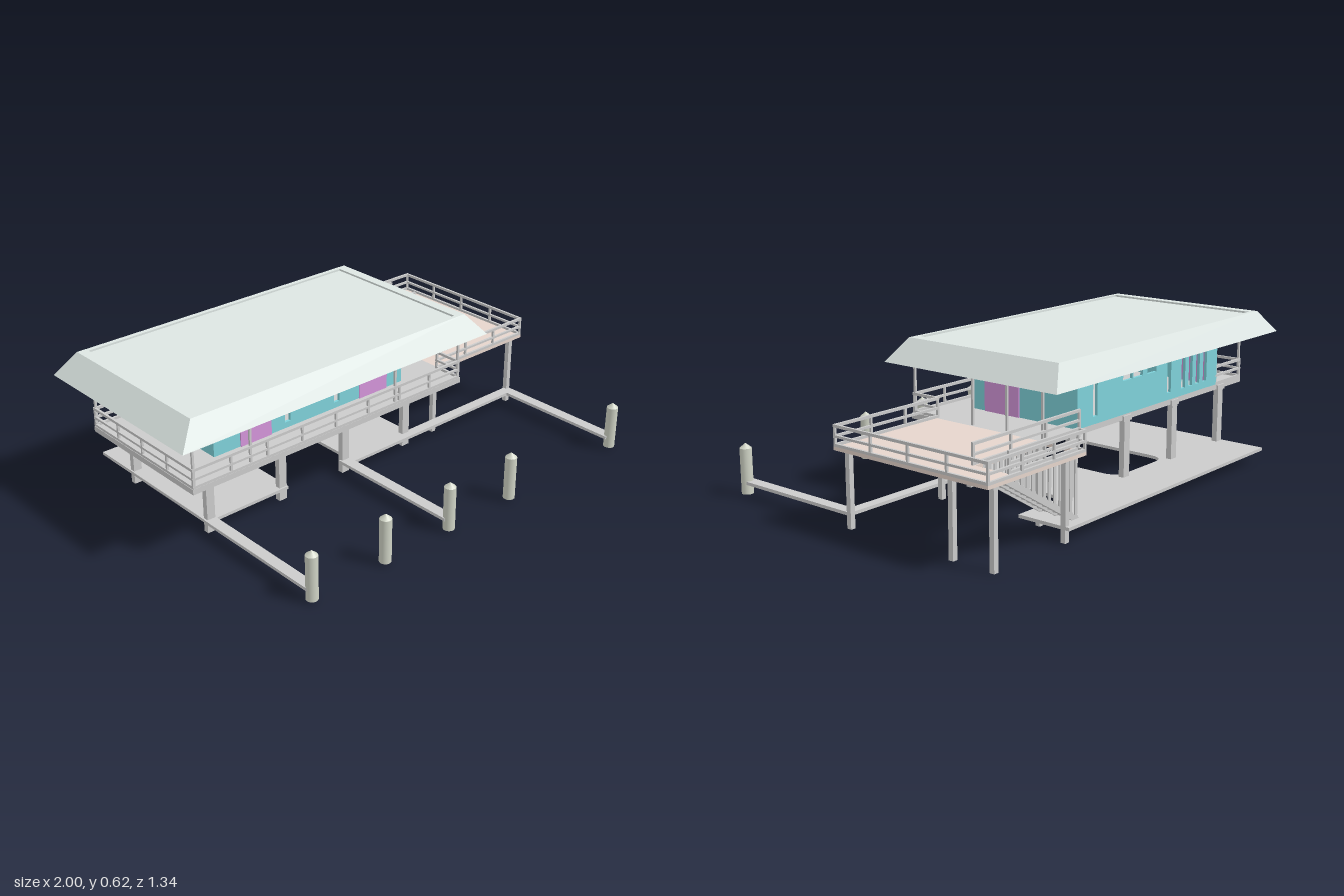
import * as THREE from 'three';

const mat = (color, extra = {}) => new THREE.MeshStandardMaterial({ color, ...extra });
const grey = mat(0xcccccc), teal = mat(0x7fd2da), violet = mat(0xd495da);
const roofMat = mat(0xdde6e3, { flatShading: true, side: THREE.DoubleSide });
const deckMat = mat(0xe6d5cc), stone = mat(0xd0d4c6);

export function createModel() {
  const model = new THREE.Group();

  const add = (name, geo, material, parent = model) => {
    const m = new THREE.Mesh(geo, material);
    m.name = name;
    parent.add(m);
    return m;
  };
  const group = (name) => {
    const g = new THREE.Group();
    g.name = name;
    model.add(g);
    return g;
  };
  // box given by its min and max on each axis
  const box = (name, x0, x1, y0, y1, z0, z1, material = grey, parent = model) => {
    const m = add(name, new THREE.BoxGeometry(x1 - x0, y1 - y0, z1 - z0), material, parent);
    m.position.set((x0 + x1) / 2, (y0 + y1) / 2, (z0 + z1) / 2);
    return m;
  };
  // upright of square or rectangular section
  const post = (name, x, z, y0, y1, w, d, parent) =>
    box(name, x - w / 2, x + w / 2, y0, y1, z - d / 2, z + d / 2, grey, parent);
  const rectPath = (x0, x1, y0, y1) => new THREE.Path(
    [[x0, y0], [x0, y1], [x1, y1], [x1, y0]].map((p) => new THREE.Vector2(...p)));
  const rectShape = (x0, x1, y0, y1) => new THREE.Shape(
    [[x0, y0], [x1, y0], [x1, y1], [x0, y1]].map((p) => new THREE.Vector2(...p)));
  const extrude = (shape, depth) =>
    new THREE.ExtrudeGeometry(shape, { depth, bevelEnabled: false, curveSegments: 6 });
  // horizontal slab from a plan drawn in (x, -z)
  const slab = (name, shape, y0, y1, material) => {
    const m = add(name, extrude(shape, y1 - y0), material);
    m.rotation.x = -Math.PI / 2;
    m.position.y = y0;
    return m;
  };

  // Roof: rectangular rings from soffit to eave, sloped fascia, rim and recessed top
  const rings = [
    [-0.72, 0.26, -0.465, 0.05, 0.527], [-1, 0.54, -0.59, 0.265, 0.525],
    [-0.92, 0.46, -0.535, 0.207, 0.618], [-0.88, 0.417, -0.515, 0.19, 0.618],
    [-0.88, 0.417, -0.515, 0.19, 0.61],
  ].map(([x0, x1, z0, z1, y]) => [[x0, y, z1], [x1, y, z1], [x1, y, z0], [x0, y, z0]]);
  const tris = [];
  const quad = (a, b, c, d) => tris.push(...a, ...b, ...c, ...a, ...c, ...d);
  for (let r = 0; r < rings.length - 1; r++) {
    for (let i = 0; i < 4; i++) {
      const j = (i + 1) % 4;
      quad(rings[r][i], rings[r][j], rings[r + 1][j], rings[r + 1][i]);
    }
  }
  quad(...rings[4]);
  quad(...[...rings[0]].reverse());
  const roofGeo = new THREE.BufferGeometry();
  roofGeo.setAttribute('position', new THREE.Float32BufferAttribute(tris, 3));
  roofGeo.computeVertexNormals();
  add('roof', roofGeo, roofMat);

  // House walls with window openings
  const house = group('house');
  const wall = (name, z, holes) => {
    const s = rectShape(-0.715, 0.26, 0.32, 0.526);
    holes.forEach(([x, w, y0, y1]) => s.holes.push(rectPath(x - w / 2, x + w / 2, y0, y1)));
    add(name, extrude(s, 0.012), teal, house).position.z = z;
  };
  wall('frontWall', 0.036, [[-0.355, 0.028, 0.345, 0.518], [-0.1, 0.028, 0.345, 0.518]]);
  const backWindows = [-0.62, -0.565, -0.51, -0.455, -0.35, 0.15].map((x) => [x, 0.028, 0.35, 0.515]);
  [-0.225, -0.13, -0.06].forEach((x) => backWindows.push([x, 0.062, 0.455, 0.505]));
  wall('backWall', -0.467, backWindows);
  box('leftWall', 0.248, 0.26, 0.32, 0.526, -0.456, 0.037, teal, house);
  box('rightWall', -0.715, -0.703, 0.32, 0.526, -0.456, 0.037, teal, house);
  // Doors
  box('frontDoor', -0.59, -0.44, 0.317, 0.517, 0.03, 0.053, violet, house);
  box('frontDoor', 0.02, 0.172, 0.317, 0.517, 0.03, 0.053, violet, house);
  box('leftDoor', 0.245, 0.265, 0.317, 0.517, -0.185, -0.01, violet, house);
  box('rightDoor', -0.72, -0.7, 0.317, 0.517, -0.45, -0.27, violet, house);

  // Decks
  box('veranda', -0.915, 0.47, 0.297, 0.32, -0.467, 0.19);
  const terrace = rectShape(0.47, 0.995, -0.065, 0.67);
  terrace.holes.push(rectPath(0.475, 0.85, 0.485, 0.63));
  slab('terrace', terrace, 0.306, 0.32, deckMat);

  // Veranda posts up to the roof
  const verandaPosts = [[-0.905, 0.182], [-0.645, 0.182], [0.095, 0.182], [0.457, 0.182],
    [0.457, -0.12], [0.457, -0.29], [0.457, -0.46], [-0.905, -0.46]];
  verandaPosts.forEach(([x, z]) => post('verandaPost', x, z, 0.32, 0.528, 0.009, 0.009));

  // Railings: three rails and short posts along each run
  const railing = (points) => {
    const g = group('railing');
    for (let i = 0; i < points.length - 1; i++) {
      const [ax, az] = points[i], [bx, bz] = points[i + 1];
      const len = Math.hypot(bx - ax, bz - az);
      for (const [y, h] of [[0.396, 0.011], [0.358, 0.009], [0.325, 0.011]]) {
        const rail = add('rail', new THREE.BoxGeometry(len + 0.01, h, 0.01), grey, g);
        rail.position.set((ax + bx) / 2, y, (az + bz) / 2);
        rail.rotation.y = -Math.atan2(bz - az, bx - ax);
      }
      const n = Math.max(1, Math.round(len / 0.17));
      for (let k = 0; k <= n; k++) {
        const t = k / n;
        post('railPost', ax + (bx - ax) * t, az + (bz - az) * t, 0.32, 0.397, 0.009, 0.009, g);
      }
    }
  };
  railing([[-0.715, -0.462], [-0.908, -0.462], [-0.908, 0.184], [0.46, 0.184], [0.46, 0.06],
    [0.99, 0.06], [0.99, -0.665], [0.475, -0.665], [0.475, -0.635]]);
  railing([[0.26, -0.475], [0.85, -0.475]]);
  railing([[0.475, -0.635], [0.85, -0.635]]);

  // House columns with capitals, and thin terrace posts
  for (const x of [-0.745, -0.39, -0.055, 0.29]) {
    for (const z of [0.04, -0.46]) {
      post('column', x, z, 0.005, 0.3, 0.037, 0.024);
      post('capital', x, z, 0.293, 0.315, 0.052, 0.03);
    }
  }
  for (const [x, z] of [[0.475, 0.03], [0.94, 0.045], [0.94, -0.46], [0.94, -0.645], [0.56, -0.645], [0.475, -0.46]]) {
    post('terracePost', x, z, 0, 0.31, 0.021, 0.021);
  }

  // Ground slab with two rounded bays, drawn in (x, -z)
  const g = new THREE.Shape();
  const r = 0.07, back = 0.44;
  g.moveTo(-0.77, -0.06);
  g.lineTo(-0.37, -0.06);
  g.lineTo(-0.37, back - r);
  g.quadraticCurveTo(-0.37, back, -0.37 + r, back);
  g.lineTo(-0.035 - r, back);
  g.quadraticCurveTo(-0.035, back, -0.035, back - r);
  g.lineTo(-0.035, -0.06);
  g.lineTo(0.31, -0.06);
  g.lineTo(0.31, back - r);
  g.quadraticCurveTo(0.31, back, 0.31 + r, back);
  g.lineTo(0.57, back);
  g.lineTo(0.57, 0.672);
  g.lineTo(-0.77, 0.672);
  g.closePath();
  slab('groundSlab', g, 0.05, 0.063, grey);

  // Ground beams out to the bollards
  for (const [x, z] of [[-0.748, 0.04], [-0.057, 0.04], [0.925, 0.04]]) {
    box('groundBeam', x - 0.024, x + 0.024, 0.05, 0.063, z, 0.648);
  }
  box('crossBeam', -0.08, 0.949, 0.05, 0.063, 0.04, 0.085);

  // Bollards with conical tops
  const bollard = new THREE.LatheGeometry(
    [[0, 0.01], [0.024, 0.01], [0.024, 0.01], [0.024, 0.195], [0.024, 0.195], [0, 0.215]]
      .map((p) => new THREE.Vector2(...p)), 16);
  for (const x of [-0.748, -0.392, -0.055, 0.29, 0.932]) {
    add('bollard', bollard, stone).position.set(x, 0, 0.647);
  }

  // Stairs: treads, sloping stringers and hanging bars
  const stairs = group('stairs');
  const x0 = 0.46, x1 = 0.88, y0 = 0.06, y1 = 0.318, steps = 14;
  for (let i = 0; i < steps; i++) {
    const t = (i + 0.5) / steps;
    const x = x0 + (x1 - x0) * t, y = y0 + (y1 - y0) * t;
    box('tread', x - 0.016, x + 0.016, y - 0.003, y + 0.003, -0.627, -0.483, grey, stairs);
    for (const z of [-0.483, -0.627]) {
      if (i < steps - 2) post('stairBar', x, z, y, 0.318, 0.014, 0.005, stairs);
    }
  }
  for (const z of [-0.483, -0.555, -0.627]) {
    const len = Math.hypot(x1 - x0, y1 - y0);
    const s = add('stringer', new THREE.BoxGeometry(len, 0.022, 0.007), grey, stairs);
    s.position.set((x0 + x1) / 2, (y0 + y1) / 2 - 0.008, z);
    s.rotation.z = Math.atan2(y1 - y0, x1 - x0);
  }
  return model;
}
